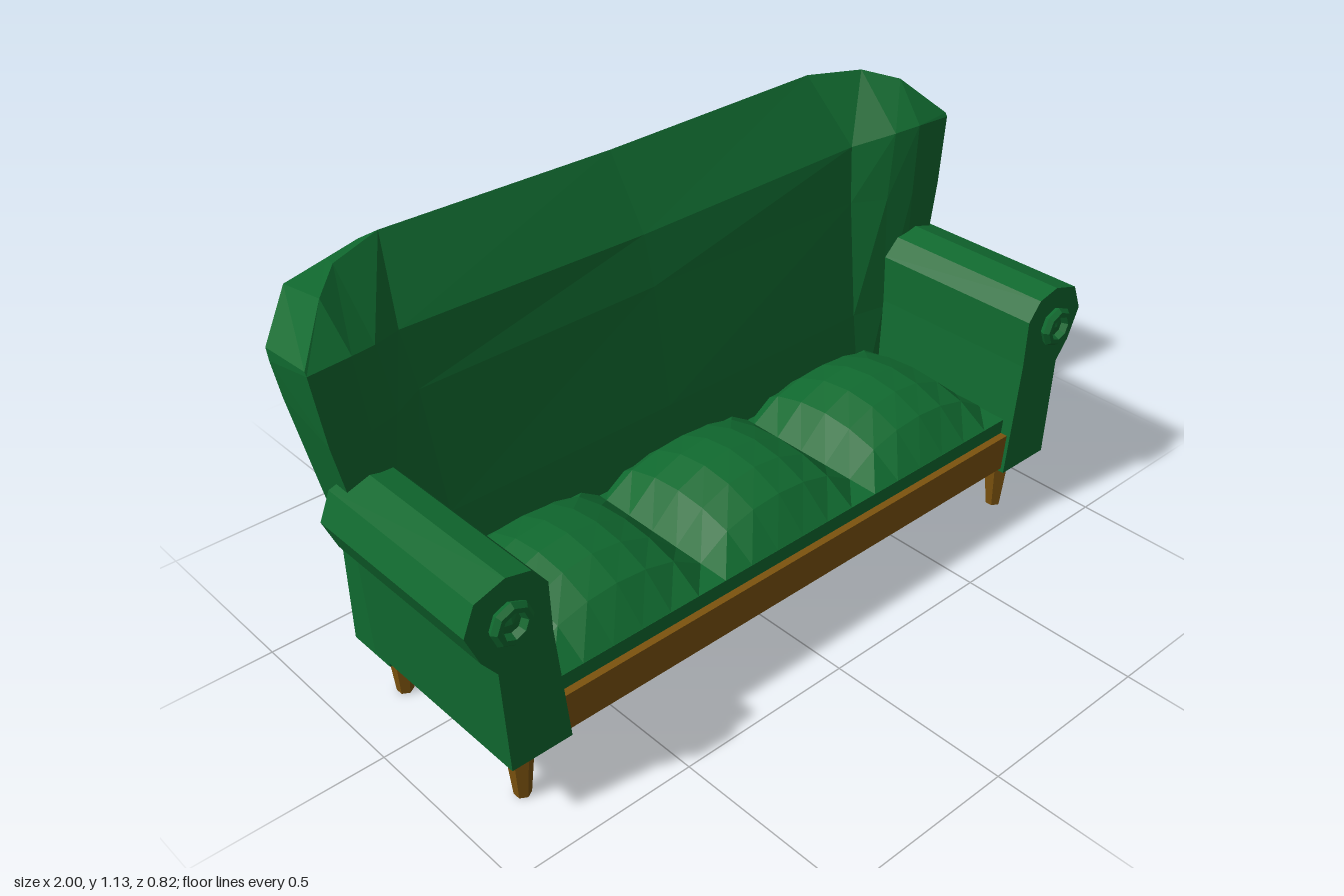
import * as THREE from 'three';

export function createModel() {
  const model = new THREE.Group();
  const green = new THREE.MeshStandardMaterial({ color: 0x10692f, flatShading: true });
  green.name = 'greenUpholstery';
  const wood = new THREE.MeshStandardMaterial({ color: 0x7c530e, flatShading: true });
  wood.name = 'wood';

  function add(name, geometry, material, x = 0, y = 0, z = 0) {
    const mesh = new THREE.Mesh(geometry, material);
    mesh.name = name;
    mesh.position.set(x, y, z);
    model.add(mesh);
    return mesh;
  }

  // Backrest: cross-sections from the middle to the wing tip,
  // each running up the front, over the crown and down the rear
  const half = [
    [[0, .17, -.08], [0, .48, -.12], [0, .8, -.175], [0, .93, -.21], [0, 1.115, -.33],
      [0, 1.065, -.41], [0, .97, -.4], [0, .87, -.36], [0, .48, -.285], [0, .17, -.225]],
    [[.68, .17, -.08], [.68, .48, -.12], [.7, .8, -.17], [.72, .95, -.195], [.67, 1.13, -.32],
      [.67, 1.075, -.41], [.68, .98, -.4], [.69, .87, -.36], [.7, .48, -.285], [.7, .17, -.225]],
    [[.78, .17, -.08], [.78, .48, -.1], [.79, .8, -.12], [.82, .98, -.13], [.82, 1.122, -.265],
      [.78, 1.08, -.368], [.79, .99, -.362], [.8, .87, -.335], [.8, .48, -.27], [.8, .17, -.225]],
    [[.85, .17, -.08], [.85, .48, -.09], [.87, .8, -.1], [.89, .99, -.108], [.9, 1.095, -.195],
      [.9, 1.07, -.345], [.9, 1.0, -.34], [.89, .87, -.305], [.86, .48, -.25], [.86, .17, -.225]],
    [[.91, .17, -.08], [.91, .48, -.09], [.975, .8, -.1], [1, .985, -.106], [1, .995, -.112],
      [1, .985, -.27], [1, .955, -.262], [.985, .86, -.256], [.91, .48, -.228], [.91, .17, -.225]],
  ];
  const mirrored = half.slice(1).reverse().map(s => s.map(([x, y, z]) => [-x, y, z]));
  const sections = [...mirrored, ...half];
  const n = half[0].length, last = sections.length - 1;
  const index = [];
  const quad = (a, b, c, d) => index.push(a, b, c, a, c, d);
  for (let i = 0; i < last; i++) {
    for (let j = 0; j < n; j++) {
      const k = (j + 1) % n;
      quad(i * n + j, (i + 1) * n + j, (i + 1) * n + k, i * n + k);
    }
  }
  for (let j = 0; j < n / 2 - 1; j++) {
    const e = last * n;
    quad(j, j + 1, n - 2 - j, n - 1 - j);
    quad(e + j, e + n - 1 - j, e + n - 2 - j, e + j + 1);
  }
  const backGeometry = new THREE.BufferGeometry();
  backGeometry.setAttribute('position', new THREE.Float32BufferAttribute(sections.flat(2), 3));
  backGeometry.setIndex(index);
  backGeometry.computeVertexNormals();
  add('backrest', backGeometry, green);

  // Rolled arms with a ring-shaped button on the front
  const armOutline = [[.745, .18], [.91, .18], [.925, .463], [.965, .515], [1, .598],
    [.97, .67], [.89, .695], [.825, .68], [.785, .63], [.78, .5]];
  const buttonProfile = [[.05, 0], [.056, .013], [.046, .025], [.034, .025], [.026, .008], [0, .014]]
    .map(p => new THREE.Vector2(...p));
  for (const side of [1, -1]) {
    const label = side > 0 ? 'left' : 'right';
    const shape = new THREE.Shape(armOutline.map(([x, y]) => new THREE.Vector2(side * x, y)));
    add(label + 'Arm', new THREE.ExtrudeGeometry(shape, { depth: .53, bevelEnabled: false }),
      green, 0, 0, -.14);
    const button = add(label + 'ArmButton', new THREE.LatheGeometry(buttonProfile, 8),
      green, side * .89, .585, .39);
    button.rotation.x = Math.PI / 2;
  }

  // Wooden seat frame and upholstered seat base
  add('seatFrame', new THREE.BoxGeometry(1.53, .1, .47), wood, 0, .24, .145);
  add('seatBase', new THREE.BoxGeometry(1.54, .04, .49), green, 0, .31, .115);

  // Three domed seat cushions
  for (const i of [-1, 0, 1]) {
    const dome = new THREE.PlaneGeometry(2, 2, 6, 6).rotateX(-Math.PI / 2);
    const p = dome.attributes.position;
    for (let k = 0; k < p.count; k++) {
      const u = p.getX(k), v = p.getZ(k);
      const rise = Math.pow(Math.max(0, (1 - u * u) * (1 - v * v)), .75);
      p.setXYZ(k, u * .256, .124 * rise, v * .26);
    }
    dome.computeVertexNormals();
    add('seatCushion', dome, green, i * .512, .331, .1);
  }

  // Tapered legs
  for (const x of [-.83, .83]) {
    for (const z of [.305, -.163]) {
      add(z > 0 ? 'frontLeg' : 'rearLeg', new THREE.CylinderGeometry(.039, .021, .185, 6),
        wood, x, .0925, z);
    }
  }
  return model;
}
